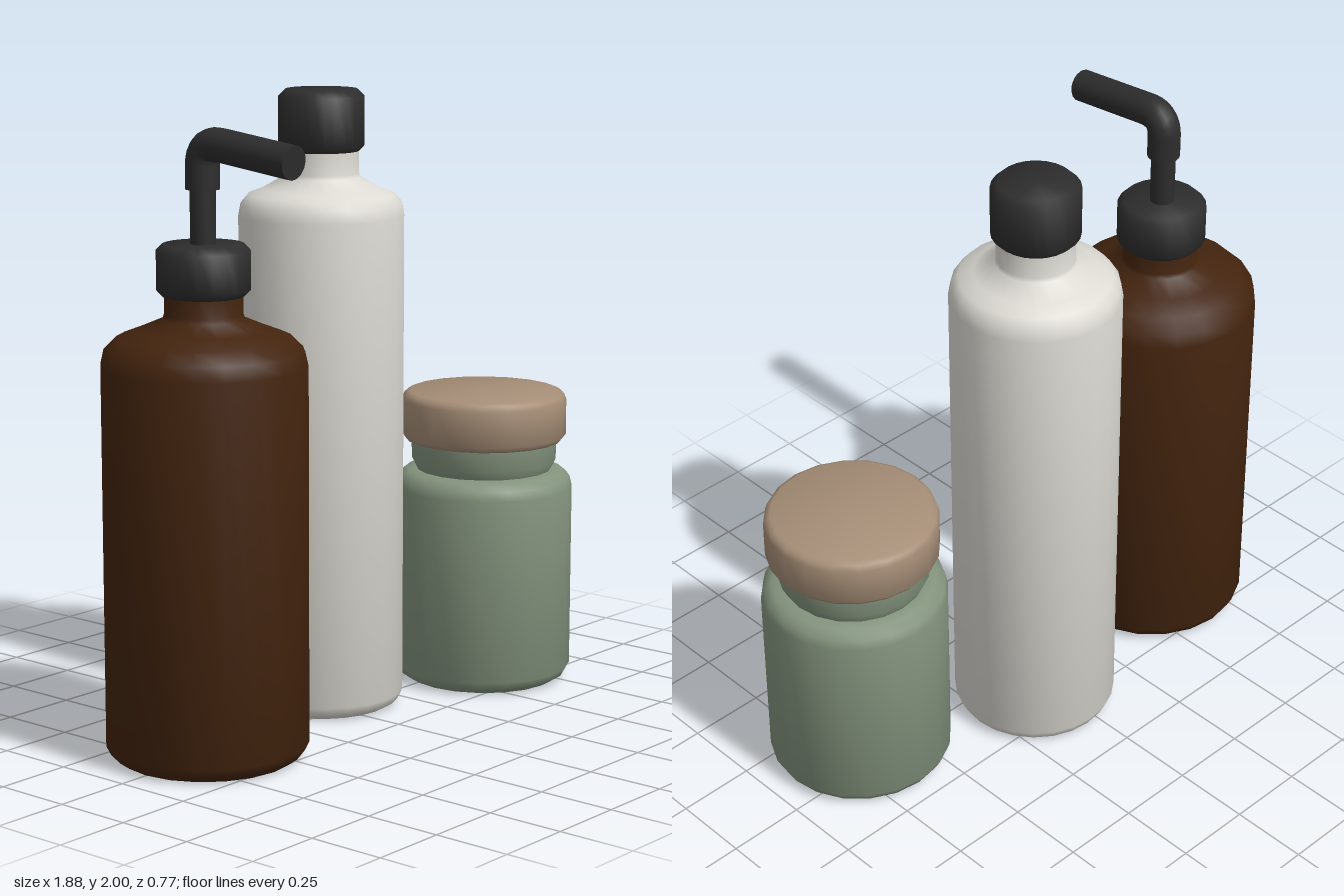
import * as THREE from 'three';
import { toCreasedNormals } from 'three/addons/utils/BufferGeometryUtils.js';

const material = (name, color) => {
  const m = new THREE.MeshStandardMaterial({ color });
  m.name = name;
  return m;
};

// Turned part from [radius, height] pairs, smooth except at sharp corners
function turned(name, mat, profile, sides = 20) {
  const lathe = new THREE.LatheGeometry(profile.map(([r, y]) => new THREE.Vector2(r, y)), sides);
  const mesh = new THREE.Mesh(toCreasedNormals(lathe, 0.9), mat);
  mesh.name = name;
  return mesh;
}

// Closed disc with bevelled rims
const capProfile = (r, y0, y1, b) => [
  [0, y0], [r - b, y0], [r, y0 + b], [r, y1 - b], [r - b, y1], [0, y1],
];

function container(name, x, z, ...parts) {
  const group = new THREE.Group();
  group.name = name;
  group.position.set(x, 0, z);
  group.add(...parts);
  return group;
}

export function createModel() {
  const amber = material('amber brown', 0x43240e);
  const black = material('matte black', 0x2d2d2d);
  const white = material('warm white', 0xdcdad3);
  const sage = material('sage green', 0x83937d);
  const wood = material('light wood', 0xa68e77);

  // Pump bottle
  const pumpBody = turned('pumpBottleBody', amber, [
    [0, 0], [0.272, 0], [0.3, 0.02], [0.315, 0.05], [0.315, 1.22], [0.305, 1.265],
    [0.265, 1.305], [0.2, 1.33], [0.125, 1.362], [0.12, 1.375], [0.12, 1.44], [0, 1.44],
  ]);
  const collar = turned('pumpCollar', black, capProfile(0.143, 1.43, 1.587, 0.02));
  const stem = turned('pumpStem', black, [[0, 1.58], [0.039, 1.58], [0.039, 1.76], [0, 1.76]], 16);

  // Spout: vertical sleeve, rounded elbow, slightly drooping nozzle
  const path = new THREE.CurvePath();
  const v = (y, z) => new THREE.Vector3(0, y, z);
  path.add(new THREE.LineCurve3(v(1.75, 0), v(1.82, 0)));
  path.add(new THREE.QuadraticBezierCurve3(v(1.82, 0), v(1.892, 0), v(1.885, 0.075)));
  path.add(new THREE.LineCurve3(v(1.885, 0.075), v(1.852, 0.36)));
  const spout = new THREE.Mesh(new THREE.TubeGeometry(path, 32, 0.052, 16), black);
  spout.name = 'pumpSpout';
  const ends = [[0, Math.PI / 2], [1, 0.115]].map(([t, tilt]) => {
    const end = new THREE.Mesh(new THREE.CircleGeometry(0.052, 16), black);
    end.name = t ? 'spoutTip' : 'spoutUnderside';
    end.position.copy(path.getPoint(t));
    end.rotation.x = tilt;
    return end;
  });

  // Tall bottle
  const tallBody = turned('tallBottleBody', white, [
    [0, 0], [0.225, 0], [0.25, 0.015], [0.265, 0.045], [0.265, 1.6], [0.258, 1.64],
    [0.235, 1.668], [0.19, 1.685], [0.125, 1.722], [0.12, 1.735], [0.12, 1.81], [0, 1.81],
  ], 24);
  const tallCap = turned('tallBottleCap', black, capProfile(0.137, 1.8, 2, 0.022), 24);

  // Squat jar
  const jarBody = turned('jarBody', sage, [
    [0, 0], [0.25, 0], [0.28, 0.018], [0.295, 0.045], [0.295, 0.655], [0.288, 0.687],
    [0.26, 0.71], [0.225, 0.714], [0.24, 0.745], [0.242, 0.82], [0, 0.82],
  ]);
  const jarLid = turned('jarLid', wood, [
    [0, 0.812], [0.258, 0.812], [0.273, 0.83], [0.273, 0.948], [0.266, 0.966], [0.25, 0.975], [0, 0.975],
  ]);

  const model = new THREE.Group();
  model.name = 'bathroomContainers';
  model.add(
    container('pumpBottle', -0.625, 0, pumpBody, collar, stem, spout, ...ends),
    container('tallBottle', 0.055, -0.12, tallBody, tallCap),
    container('jar', 0.645, 0.087, jarBody, jarLid),
  );
  return model;
}
